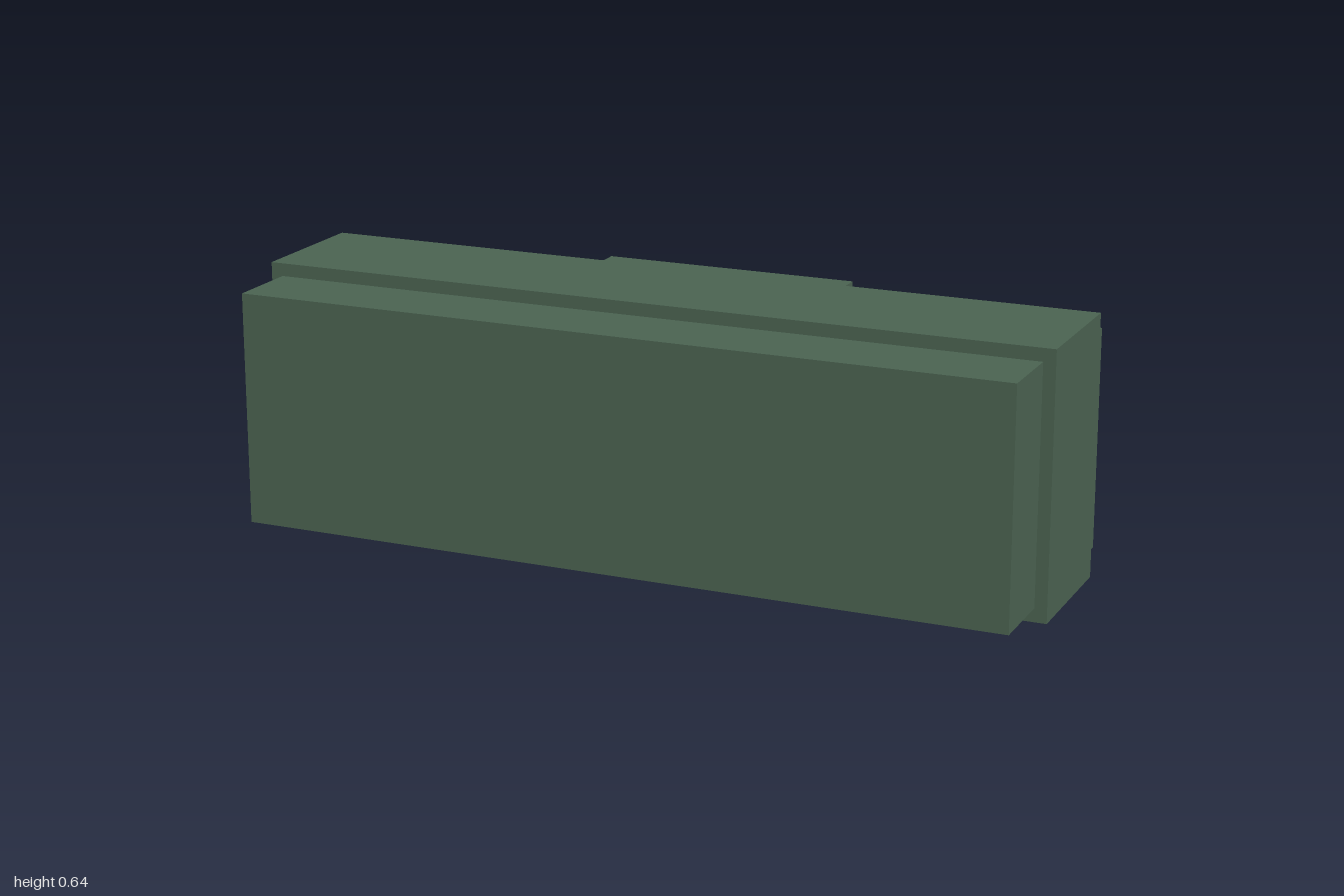
import * as THREE from 'three';

const green = new THREE.MeshStandardMaterial({ color: 0x4a6250 });
green.name = 'dark green';
const olive = new THREE.MeshStandardMaterial({ color: 0x858a62 });
olive.name = 'olive';

// Box given by its extents on each axis
function block(name, material, [x0, x1], [y0, y1], [z0, z1]) {
  const mesh = new THREE.Mesh(new THREE.BoxGeometry(x1 - x0, y1 - y0, z1 - z0), material);
  mesh.position.set((x0 + x1) / 2, (y0 + y1) / 2, (z0 + z1) / 2);
  mesh.name = name;
  return mesh;
}

export function createModel() {
  const model = new THREE.Group();
  model.name = 'box';

  // Front cover and the slightly larger middle body
  model.add(block('frontCover', green, [-0.97, 0.97], [0.034, 0.612], [0.187, 0.376]));
  model.add(block('body', green, [-1, 1], [0, 0.644], [-0.159, 0.187]));

  // Back plate: the centre tab stands up at the top and is notched below
  const outline = [
    [-0.952, 0.026], [-0.305, 0.026], [-0.305, 0.075], [0.34, 0.075], [0.34, 0.026], [0.966, 0.026],
    [0.966, 0.571], [0.34, 0.571], [0.34, 0.62], [-0.305, 0.62], [-0.305, 0.571], [-0.952, 0.571],
  ];
  const shape = new THREE.Shape(outline.map(([x, y]) => new THREE.Vector2(x, y)));
  const backPlate = new THREE.Mesh(
    new THREE.ExtrudeGeometry(shape, { depth: 0.137, bevelEnabled: false }), green);
  backPlate.position.z = -0.296;
  backPlate.name = 'backPlate';
  model.add(backPlate);

  // Two pads on the back
  model.add(block('rightPad', olive, [-0.778, -0.516], [0.142, 0.373], [-0.376, -0.296]));
  model.add(block('leftPad', olive, [0.495, 0.757], [0.142, 0.373], [-0.376, -0.296]));

  return model;
}
